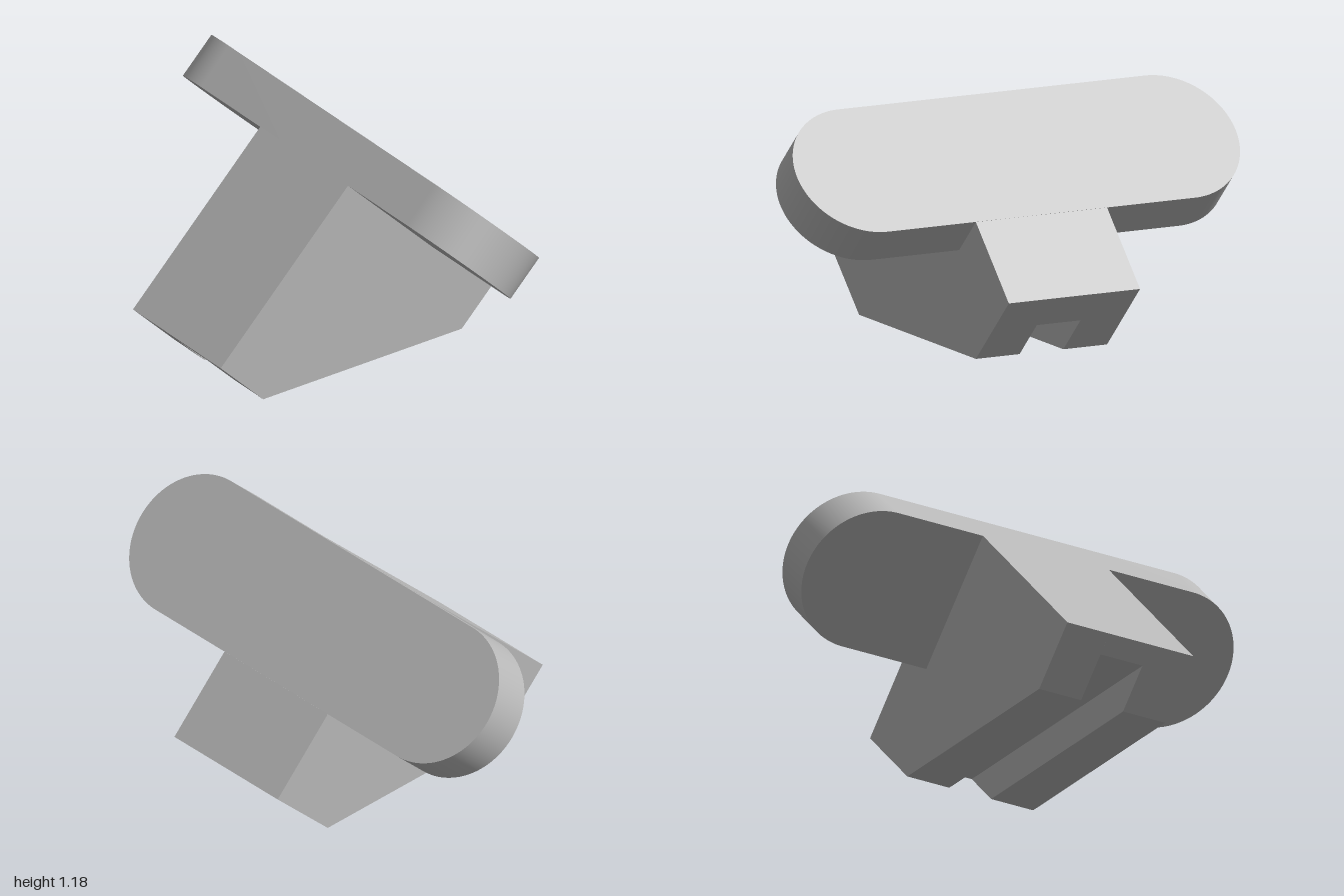
import * as THREE from 'three';
import { toCreasedNormals } from 'three/addons/utils/BufferGeometryUtils.js';

const grey = new THREE.MeshStandardMaterial({ color: 0xbababa });
grey.name = 'plainGrey';

const HALF_WIDTH = 0.36; // half width of the stem and end radius of the plate
const HALF_SLOT = 0.12;
const SLOT_TOP = 0.175;
const STEP = 0.17; // plate thickness measured along each 45 degree axis
const END = 0.842; // centre of each rounded plate end

// Stem side profile; the bottom is raised over the slot
function stemProfile(bottom) {
  const pts = [
    [-0.8 - bottom, bottom], [0.385 + bottom, bottom], [0.72, 0.335],
    [0.385, 0.675], [0.385 - STEP, 0.675 - STEP],
    [-0.124 - STEP, 1.185 - STEP], [-1.054, 0.255],
  ];
  return new THREE.Shape(pts.map(([x, y]) => new THREE.Vector2(x, y)));
}

function stemSlice(name, bottom, z0, z1) {
  const geometry = new THREE.ExtrudeGeometry(stemProfile(bottom), { depth: z1 - z0, bevelEnabled: false });
  geometry.translate(0, 0, z0);
  const mesh = new THREE.Mesh(geometry, grey);
  mesh.name = name;
  return mesh;
}

export function createModel() {
  const model = new THREE.Group();
  model.name = 'tiltedPlateStand';

  // Stem: two full-depth sides and a middle raised above the through slot
  const stem = new THREE.Group();
  stem.name = 'stem';
  stem.add(
    stemSlice('stemSideA', 0, -HALF_WIDTH, -HALF_SLOT),
    stemSlice('stemMiddle', SLOT_TOP, -HALF_SLOT, HALF_SLOT),
    stemSlice('stemSideB', 0, HALF_SLOT, HALF_WIDTH),
  );
  model.add(stem);

  // Round-ended plate leaning back at 45 degrees
  const outline = new THREE.Shape();
  outline.absarc(END, 0, HALF_WIDTH, -Math.PI / 2, Math.PI / 2, false);
  outline.absarc(-END, 0, HALF_WIDTH, Math.PI / 2, Math.PI * 1.5, false);
  outline.closePath();
  const extruded = new THREE.ExtrudeGeometry(outline, {
    depth: STEP * Math.SQRT2, bevelEnabled: false, curveSegments: 40,
  });
  const geometry = toCreasedNormals(extruded, 0.5);
  const s = Math.SQRT1_2;
  geometry.applyMatrix4(new THREE.Matrix4().makeBasis(
    new THREE.Vector3(0, 0, -1), new THREE.Vector3(-s, s, 0), new THREE.Vector3(s, s, 0),
  ));
  geometry.translate(0.1305 - STEP, 0.93 - STEP, 0);
  const plate = new THREE.Mesh(geometry, grey);
  plate.name = 'roundEndedPlate';
  model.add(plate);

  // The whole piece stands diagonally
  model.rotation.y = Math.PI / 4;
  return model;
}
